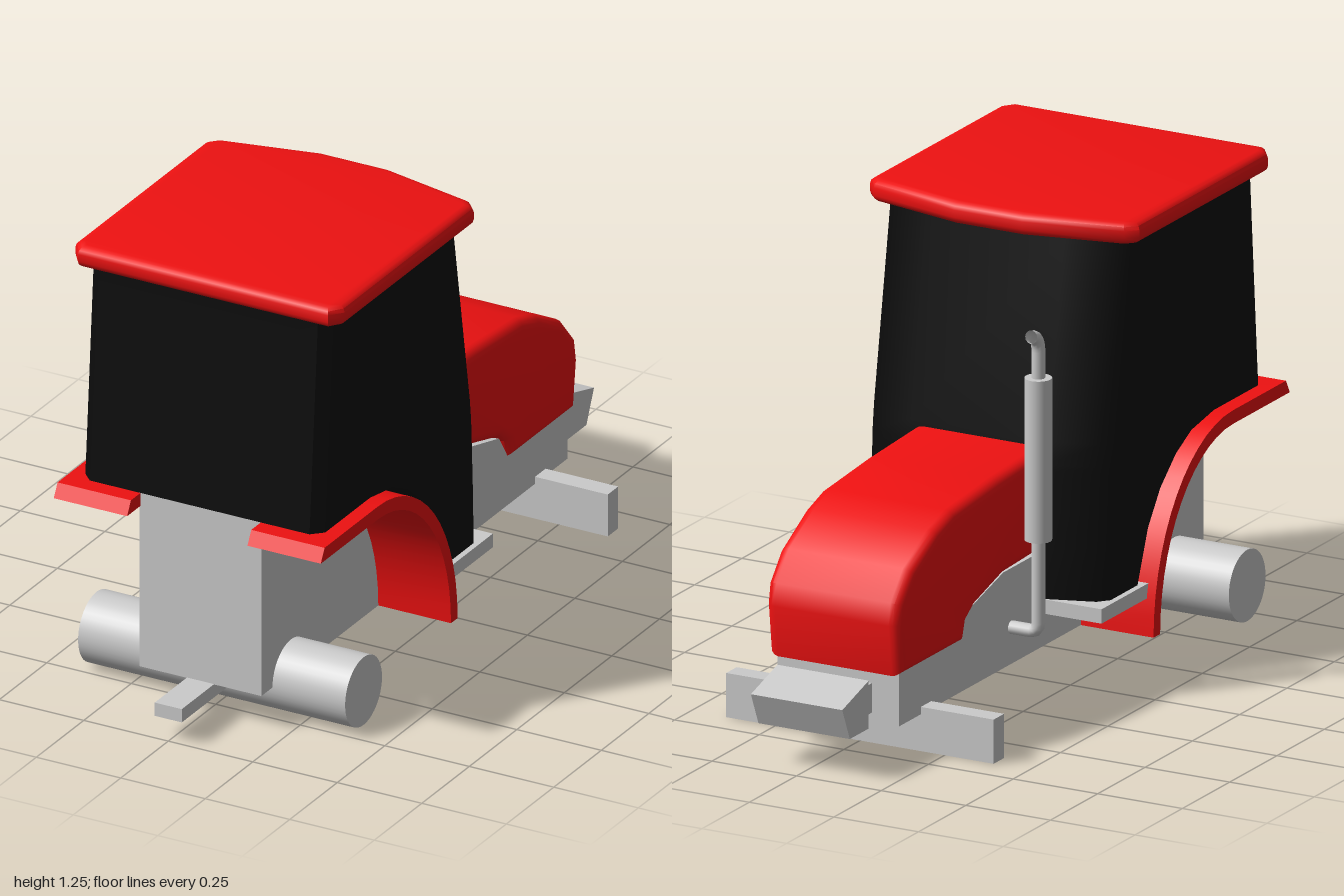
import * as THREE from 'three';
import { toCreasedNormals } from 'three/addons/utils/BufferGeometryUtils.js';

const paint = (color) => new THREE.MeshStandardMaterial({ color });

export function createModel() {
  const model = new THREE.Group();
  const grey = paint(0xcccccc), red = paint(0xee1111), black = paint(0x0b0b0b);
  grey.color.set(0xcccccc);

  function add(name, geometry, material, x = 0, y = 0, z = 0) {
    const mesh = new THREE.Mesh(geometry, material);
    mesh.name = name;
    mesh.position.set(x, y, z);
    model.add(mesh);
    return mesh;
  }
  // Box given by its limits on each axis
  const box = (name, x0, x1, y0, y1, z0, z1, material = grey) =>
    add(name, new THREE.BoxGeometry(x1 - x0, y1 - y0, z1 - z0), material,
      (x0 + x1) / 2, (y0 + y1) / 2, (z0 + z1) / 2);

  // Side outline of [z, y] points, extruded across x and centred
  function sideExtrude(points, width, bevel = 0) {
    const shape = new THREE.Shape(points.map(([z, y]) => new THREE.Vector2(z, y)));
    const g = new THREE.ExtrudeGeometry(shape, {
      depth: width - 2 * bevel, bevelEnabled: bevel > 0, bevelSize: bevel,
      bevelThickness: bevel, bevelOffset: -bevel, bevelSegments: 4,
    });
    g.translate(0, 0, -(width - 2 * bevel) / 2);
    g.rotateY(-Math.PI / 2);
    return toCreasedNormals(g, 0.6);
  }

  // Chassis and rear body
  add('chassis', sideExtrude([
    [0.83, 0.1], [0.83, 0.6], [-0.03, 0.6], [-0.03, 0.36], [-0.23, 0.36], [-0.42, 0.31],
    [-0.46, 0.25], [-0.78, 0.25], [-0.78, 0.1],
  ], 0.36), grey);

  // Hood with rounded edges
  add('hood', sideExtrude([
    [-0.02, 0.645], [-0.28, 0.633], [-0.52, 0.613], [-0.61, 0.585], [-0.74, 0.515],
    [-0.805, 0.44], [-0.815, 0.38], [-0.798, 0.24], [-0.46, 0.24], [-0.445, 0.29],
    [-0.4, 0.32], [-0.25, 0.362], [-0.02, 0.37],
  ], 0.396, 0.03), red);

  // Cab: plan outlines stacked upward, the rear edge follows the fender
  const wheelArc = (y) => 0.6 - 0.42 * Math.sqrt(Math.max(0, 1 - ((y - 0.1) / 0.5) ** 2));
  const rows = [[0.24, -0.05], [0.38, -0.047], [0.47, -0.043], [0.54, -0.04], [0.58, -0.038]]
    .map(([y, front]) => [y, front, wheelArc(y)]);
  rows.push([0.6, -0.037, 0.6], [0.6, -0.037, 0.835], [0.66, -0.03, 0.83], [1.2, 0.06, 0.79]);
  const positions = [], index = [];
  rows.forEach(([y, f, r]) => {
    const half = [[0.325, r], [0.355, r - 0.03], [0.355, f + 0.075], [0.33, f + 0.045], [0.2, f]];
    const ring = [...half, ...half.map(([x, z]) => [-x, z]).reverse()];
    ring.forEach(([x, z]) => positions.push(x, y, z));
  });
  const n = 10, last = (rows.length - 1) * n;
  for (let i = 0; i < rows.length - 1; i++) {
    for (let j = 0; j < n; j++) {
      const a = i * n + j, b = i * n + (j + 1) % n;
      index.push(a, b, b + n, a, b + n, a + n);
    }
  }
  for (let j = 1; j < n - 1; j++) {
    index.push(0, j + 1, j, last, last + j, last + j + 1);
  }
  const cab = new THREE.BufferGeometry();
  cab.setAttribute('position', new THREE.Float32BufferAttribute(positions, 3));
  cab.setIndex(index);
  add('cab', toCreasedNormals(cab, 0.6), black);

  // Roof: bowed front edge and bevelled rim
  const halfRoof = [[0.1, 0.01], [0.37, 0.07], [0.398, 0.1], [0.398, 0.78], [0.37, 0.818]];
  const roofPlan = [...halfRoof, ...halfRoof.map(([x, z]) => [-x, z]).reverse()];
  const roof = new THREE.ExtrudeGeometry(
    new THREE.Shape(roofPlan.map(([x, z]) => new THREE.Vector2(x, z))),
    { depth: 0.02, bevelSize: 0.025, bevelThickness: 0.02, bevelOffset: -0.025, bevelSegments: 3 });
  roof.rotateX(Math.PI / 2);
  add('roof', toCreasedNormals(roof, 0.7), red, 0, 1.23, 0);

  // Fenders: flat at the rear, then a curved band down to the step
  const outer = [[0.9, 0.56], [0.88, 0.597]], inner = [];
  for (let i = 0; i <= 14; i++) {
    const t = (i / 14) * Math.PI / 2;
    outer.push([0.6 - 0.42 * Math.sin(t), 0.1 + 0.497 * Math.cos(t)]);
    inner.push([0.6 - 0.385 * Math.sin(t), 0.1 + 0.46 * Math.cos(t)]);
  }
  const fender = sideExtrude([...outer, ...inner.reverse()], 0.217);
  for (const s of [1, -1]) {
    add('fender', fender, red, s * 0.2865);

    // Step below the cab door: thin tread with a rim hanging from it
    const x0 = s > 0 ? 0.17 : -0.37, x1 = x0 + 0.2;
    box('stepTread', x0, x1, 0.222, 0.239, -0.05, 0.2);
    box('stepFrontRim', x0, x1, 0.2, 0.222, -0.05, -0.03);
    box('stepRearRim', x0, x1, 0.2, 0.222, 0.18, 0.2);
    box('stepSideRim', s * 0.36 - 0.01, s * 0.36 + 0.01, 0.2, 0.222, -0.03, 0.18);
  }

  // Axles, drive rail and hitch
  const rearAxle = new THREE.CylinderGeometry(0.097, 0.097, 0.79, 40);
  rearAxle.rotateZ(Math.PI / 2);
  add('rearAxle', rearAxle, grey, 0, 0.1, 0.675);
  box('frontAxle', -0.395, 0.395, 0, 0.12, -0.665, -0.61);
  box('driveRail', -0.06, 0.06, 0.045, 0.085, -0.62, 0.65);
  box('hitch', -0.04, 0.04, 0.063, 0.101, 0.7, 1);

  // Front weight and its mount
  box('weightMount', -0.1, 0.1, 0.125, 0.205, -0.87, -0.77);
  add('frontWeight', sideExtrude([
    [-0.86, 0.24], [-1, 0.2], [-0.96, 0.11], [-0.86, 0.11],
  ], 0.27), grey);

  // Exhaust: bent pipe with a muffler, on the right side only
  const path = new THREE.CurvePath();
  const v = (x, y, z) => new THREE.Vector3(x, y, z);
  const line = (a, b) => path.add(new THREE.LineCurve3(a, b));
  const bend = (a, b, c) => path.add(new THREE.QuadraticBezierCurve3(a, b, c));
  const px = -0.26, pz = -0.187;
  line(v(-0.16, 0.2, pz), v(-0.235, 0.2, pz));
  bend(v(-0.235, 0.2, pz), v(px, 0.2, pz), v(px, 0.225, pz));
  line(v(px, 0.225, pz), v(px, 0.96, pz));
  bend(v(px, 0.96, pz), v(px, 1.005, pz), v(px, 1.01, -0.225));
  const pipeMaterial = grey.clone();
  pipeMaterial.side = THREE.DoubleSide;
  add('exhaustPipe', new THREE.TubeGeometry(path, 80, 0.018, 12), pipeMaterial);
  add('muffler', new THREE.CylinderGeometry(0.036, 0.036, 0.44, 20), grey, px, 0.67, pz);

  return model;
}
